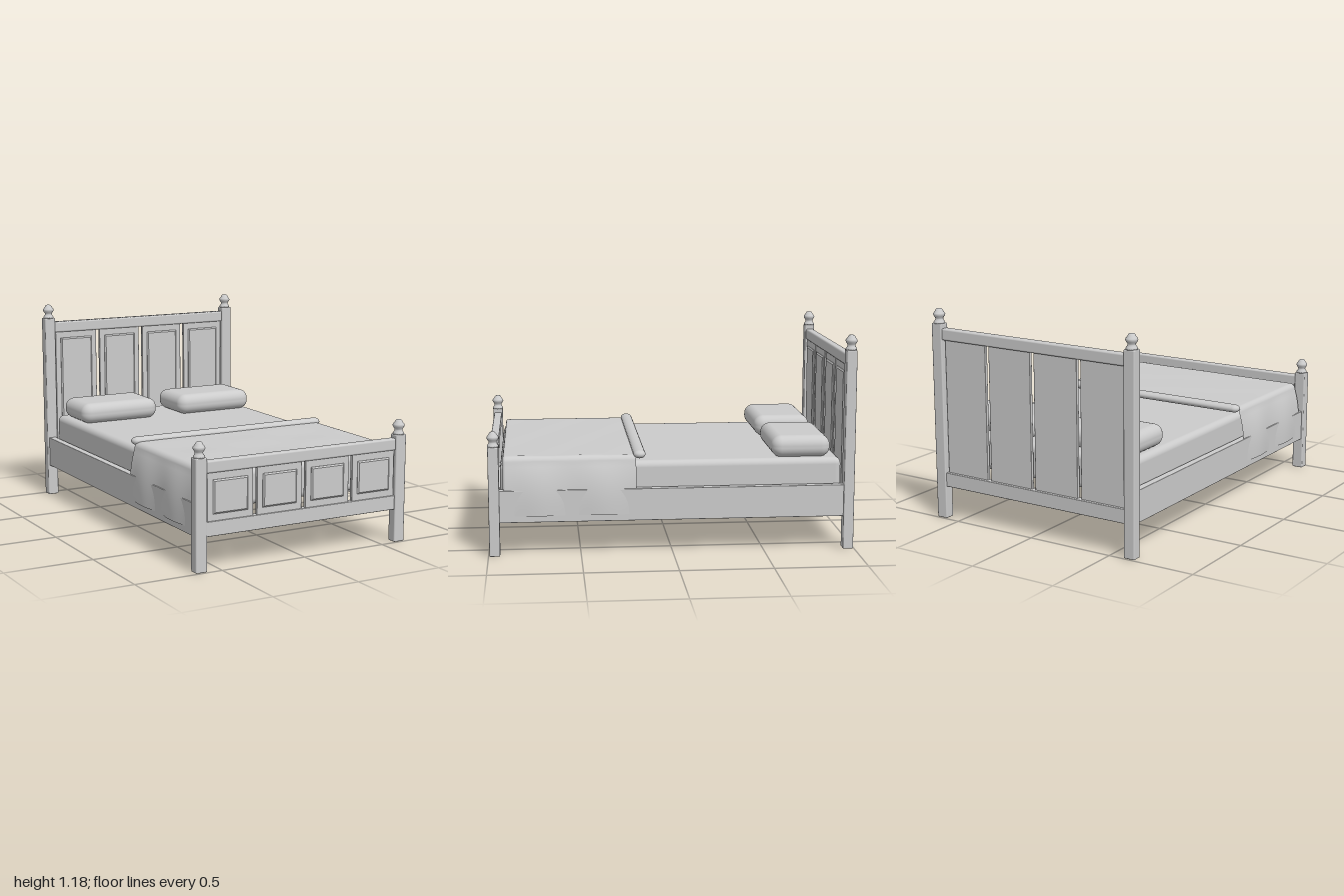
import * as THREE from 'three';
import { RoundedBoxGeometry } from 'three/addons/geometries/RoundedBoxGeometry.js';

const material = new THREE.MeshStandardMaterial({ color: 0xcccccc });
const cloth = new THREE.MeshStandardMaterial({ color: 0xcccccc, side: THREE.DoubleSide });

function add(parent, name, geometry, x = 0, y = 0, z = 0, mat = material) {
  const mesh = new THREE.Mesh(geometry, mat);
  mesh.name = name;
  mesh.position.set(x, y, z);
  parent.add(mesh);
  return mesh;
}

// Rounded box given by its extents on each axis
function block(parent, name, [x0, x1], [y0, y1], [z0, z1], r = 0.005, seg = 2) {
  const g = new RoundedBoxGeometry(x1 - x0, y1 - y0, z1 - z0, seg, r);
  return add(parent, name, g, (x0 + x1) / 2, (y0 + y1) / 2, (z0 + z1) / 2);
}

// Raised field with a bevelled border
function raisedField(w, h) {
  const bevel = 0.008, a = w / 2 - bevel, b = h / 2 - bevel;
  const shape = new THREE.Shape([[-a, -b], [a, -b], [a, b], [-a, b]].map(p => new THREE.Vector2(...p)));
  return new THREE.ExtrudeGeometry(shape, {
    depth: 0.002, bevelEnabled: true, bevelThickness: 0.006, bevelSize: bevel, bevelSegments: 1,
  });
}

const finialProfile = [
  [0, 0], [0.031, 0], [0.031, 0.008], [0.026, 0.015], [0.021, 0.024], [0.022, 0.031],
  [0.029, 0.041], [0.033, 0.05], [0.031, 0.057], [0.023, 0.067], [0.019, 0.075], [0.014, 0.081], [0, 0.084],
].map(p => new THREE.Vector2(...p));

// Head or foot end: two posts with finials, two rails and four panels
function bedEnd(name, z, postTop, railTop) {
  const end = new THREE.Group();
  end.name = name;
  for (const s of [-1, 1]) {
    const x = s * 0.617;
    block(end, 'post', [x - 0.033, x + 0.033], [0, postTop], [z - 0.029, z + 0.029], 0.007);
    add(end, 'finial', new THREE.LatheGeometry(finialProfile, 20), x, postTop - 0.002, z);
  }
  const top = railTop - 0.065, lowerTop = 0.263;
  block(end, 'topRail', [-0.589, 0.589], [top, railTop], [z - 0.023, z + 0.023], 0.01);
  block(end, 'lowerRail', [-0.589, 0.589], [0.184, lowerTop], [z - 0.021, z + 0.021], 0.004);
  for (const x of [-0.443, -0.148, 0.148, 0.443]) {
    block(end, 'panel', [x - 0.136, x + 0.136], [lowerTop - 0.004, top + 0.004], [z - 0.004, z + 0.016], 0.003, 1);
    const h = top - lowerTop - 0.072;
    add(end, 'raisedField', raisedField(0.206, h), x, (top + lowerTop) / 2, z + 0.016);
  }
  return end;
}

// Draped blanket: cross-sections along z, slightly rounded at the foot
function blanketGeometry() {
  const round = 0.014, rows = [];
  for (let i = 0; i <= 40; i++) rows.push({ z: 0.198 + (0.903 - 0.198) * i / 40, inset: 0 });
  for (let i = 1; i <= 4; i++) {
    const a = i / 4 * Math.PI / 2;
    rows.push({ z: 0.903 + round * Math.sin(a), inset: round * (1 - Math.cos(a)) });
  }

  const top = 0.537, hem = 0.22, r = 0.035, half = 0.605;
  // Half profile from the middle of the top out to the hem
  const profile = [];
  for (let i = 0; i < 10; i++) profile.push([(half - r) * i / 10, top]);
  for (let i = 0; i <= 6; i++) {
    const a = i / 6 * Math.PI / 2;
    profile.push([half - r + r * Math.sin(a), top - r + r * Math.cos(a)]);
  }
  for (let i = 1; i <= 14; i++) profile.push([half, top - r - (top - r - hem) * i / 14]);
  const section = [
    ...profile.slice(1).reverse().map(([x, y]) => [-x, y]),
    ...profile,
  ];

  const positions = [], index = [], n = section.length;
  rows.forEach(({ z, inset }, j) => {
    section.forEach(([x, y], i) => {
      // Sides swing out over the rails in soft folds
      const t = THREE.MathUtils.clamp((top - r - y) / (top - r - hem), 0, 1);
      const fold = Math.cos((z - 0.72) * 2 * Math.PI / 0.345);
      const flare = (1 - (1 - t) ** 2.7) * (0.0395 + 0.007 * fold);
      const px = Math.sign(x) * (Math.abs(x) + flare - inset * Math.abs(x) / half);
      let py = y - inset * THREE.MathUtils.smoothstep(y, 0.3, top);
      if (y > top - 0.001) py += 0.002 * Math.sin(9 * x + 2) * Math.sin(17 * z);
      positions.push(px, py, z);
      if (j && i) {
        const c = j * n + i, b = c - n;
        index.push(b - 1, c - 1, c, b - 1, c, b);
      }
    });
  });
  const g = new THREE.BufferGeometry();
  g.setAttribute('position', new THREE.Float32BufferAttribute(positions, 3));
  g.setIndex(index);
  g.computeVertexNormals();
  return g;
}

export function createModel() {
  const bed = new THREE.Group();
  bed.name = 'bed';

  bed.add(bedEnd('headboard', -0.966, 1.1, 1.075));
  bed.add(bedEnd('footboard', 0.966, 0.6, 0.58));

  // Side rails
  for (const s of [-1, 1]) {
    const x = s * 0.618;
    block(bed, 'sideRail', [x - 0.021, x + 0.021], [0.184, 0.36], [-0.945, 0.945], 0.003, 1);
  }

  // Mattress and pillows
  block(bed, 'mattress', [-0.588, 0.588], [0.303, 0.5], [-0.932, 0.932], 0.035, 4);
  for (const s of [-1, 1]) {
    const x = s * 0.323;
    block(bed, 'pillow', [x - 0.247, x + 0.247], [0.498, 0.618], [-0.877, -0.552], 0.054, 6);
  }

  // Blanket with its rolled upper edge
  add(bed, 'blanket', blanketGeometry(), 0, 0, 0, cloth);
  const roll = add(bed, 'blanketRoll', new THREE.CapsuleGeometry(0.033, 1.158, 6, 20), 0, 0.538, 0.178);
  roll.geometry.rotateZ(Math.PI / 2).scale(1, 0.68, 1);
  return bed;
}
